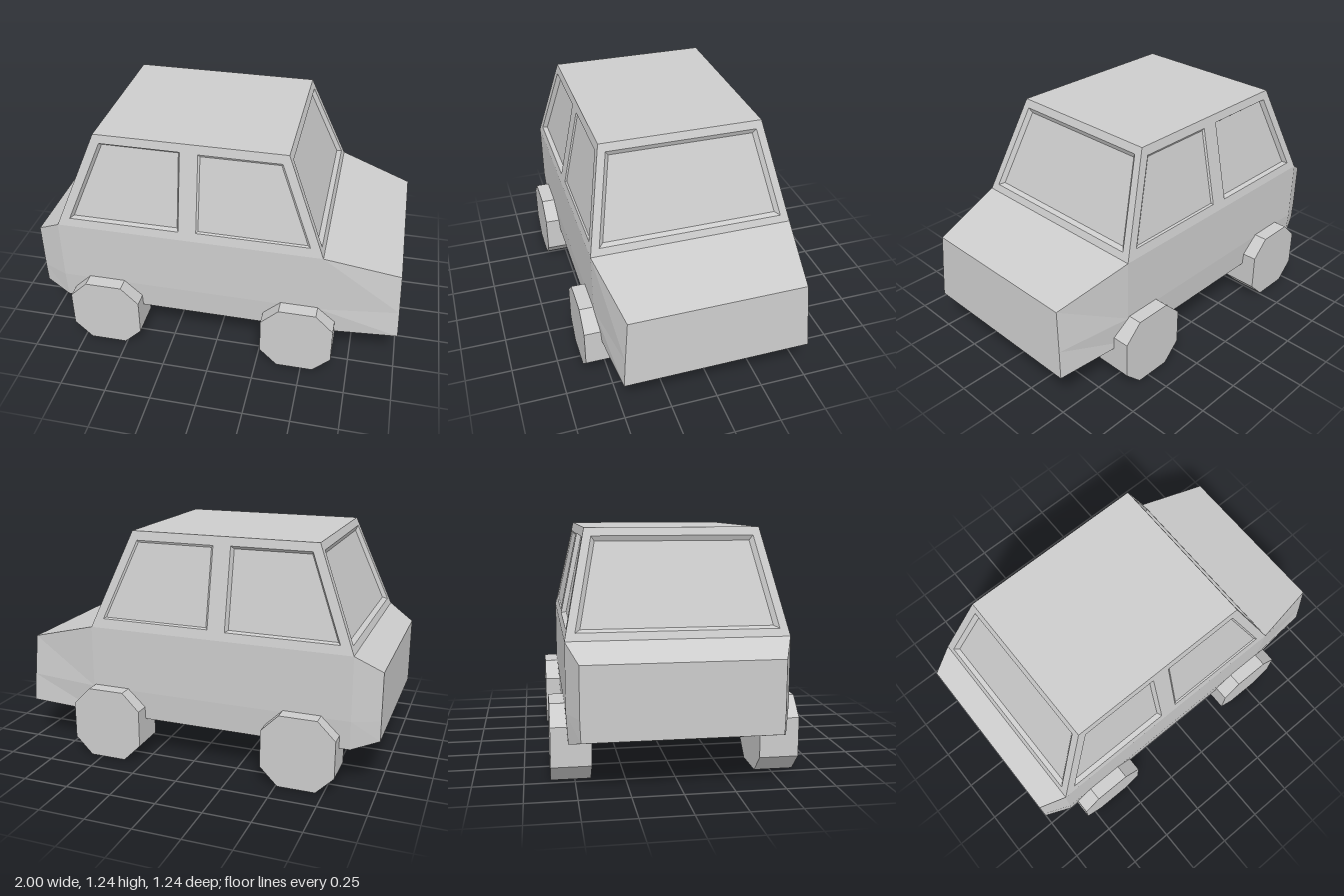
import * as THREE from 'three';

const paint = new THREE.MeshStandardMaterial({ color: 0xcccccc });
paint.name = 'light grey';

// Flat-shaded mesh from convex loops of corners, each counter-clockwise from outside
function facets(name, loops) {
  const pos = [];
  for (const l of loops) {
    for (let i = 1; i < l.length - 1; i++) pos.push(...l[0], ...l[i], ...l[i + 1]);
  }
  const geo = new THREE.BufferGeometry();
  geo.setAttribute('position', new THREE.Float32BufferAttribute(pos, 3));
  geo.computeVertexNormals();
  const mesh = new THREE.Mesh(geo, paint);
  mesh.name = name;
  return mesh;
}

// Quads joining two loops of equal length
const band = (a, b) => a.map((p, i) => {
  const j = (i + 1) % a.length;
  return [p, a[j], b[j], b[i]];
});

// Lower body: stations along x, each given as top, middle and bottom points of one side
function lowerBody() {
  const stations = [
    [[-1, 0.635, 0.487], [-1, 0.38, 0.487], [-1, 0.27, 0.483]],
    [[-0.86, 0.72, 0.545], [-0.86, 0.38, 0.545], [-0.86, 0.225, 0.535]],
    [[0.575, 0.72, 0.545], [0.575, 0.38, 0.545], [0.575, 0.225, 0.535]],
    [[0.98, 0.605, 0.468], [0.992, 0.38, 0.487], [1, 0.225, 0.498]],
  ];
  const rings = stations.map(([t, m, b]) => {
    const r = ([x, y, z]) => [x, y, -z];
    return [r(t), t, m, b, r(b), r(m)];
  });
  const loops = [rings[3], [...rings[0]].reverse()];
  for (let i = 0; i < 3; i++) loops.push(...band(rings[i], rings[i + 1]));
  return facets('lowerBody', loops);
}

// Sloping cabin panel with a recessed window; place() maps flat corners onto the slope
function windowPanel(name, outer, hole, place, flip, inset, depth) {
  const lift = (q) => {
    const pts = q.map(([u, v]) => place(u, v));
    return flip ? pts.reverse() : pts;
  };
  const o = lift(outer), h = lift(hole);
  const v = o.map((p) => new THREE.Vector3(...p));
  const normal = v[1].clone().sub(v[0]).cross(v[3].clone().sub(v[0])).normalize();
  const hv = h.map((p) => new THREE.Vector3(...p));
  // Move each corner inwards along both neighbouring edges, then sink it
  const pane = hv.map((p, i) => {
    const a = hv[(i + 1) % 4].clone().sub(p).normalize();
    const b = hv[(i + 3) % 4].clone().sub(p).normalize();
    return p.clone().addScaledVector(a, inset).addScaledVector(b, inset)
      .addScaledVector(normal, -depth).toArray();
  });
  const group = new THREE.Group();
  group.name = name;
  group.add(facets('frame', [...band(o, h), ...band(h, pane)]), facets('pane', [pane]));
  return group;
}

function cabin() {
  const g = new THREE.Group();
  g.name = 'cabin';
  const y0 = 0.72, y1 = 1.24, mid = -0.14;
  const rise = (y) => (y - y0) / (y1 - y0);

  // Side panels, mirrored across z
  for (const s of [1, -1]) {
    const place = (x, y) => [x, y, s * (0.545 - 0.11 * rise(y))];
    const side = s > 0 ? 'left' : 'right';
    g.add(
      windowPanel(side + 'RearWindow',
        [[-0.86, y0], [mid, y0], [mid, y1], [-0.65, y1]],
        [[-0.79, 0.765], [-0.19, 0.765], [-0.19, 1.195], [-0.617, 1.195]],
        place, s < 0, 0.012, 0.025),
      windowPanel(side + 'FrontWindow',
        [[mid, y0], [0.575, y0], [0.365, y1], [mid, y1]],
        [[-0.095, 0.77], [0.505, 0.77], [0.335, 1.192], [-0.095, 1.192]],
        place, s < 0, 0.01, 0.007),
    );
  }

  // Windscreen and rear window
  const outer = [[0.545, y0], [-0.545, y0], [-0.435, y1], [0.435, y1]];
  const hole = [[0.495, 0.757], [-0.495, 0.757], [-0.402, 1.2], [0.402, 1.2]];
  g.add(
    windowPanel('windscreen', outer, hole,
      (z, y) => [0.575 - 0.21 * rise(y), y, z], false, 0.021, 0.02),
    windowPanel('rearWindow', outer, hole,
      (z, y) => [-0.86 + 0.21 * rise(y), y, z], true, 0.021, 0.02),
    facets('roof', [[[-0.65, y1, 0.435], [0.365, y1, 0.435], [0.365, y1, -0.435], [-0.65, y1, -0.435]]]),
  );
  return g;
}

// Eight-sided wheel: a square block with chamfered corners
function wheelGeometry() {
  const r = 0.195, f = 0.1;
  const shape = new THREE.Shape(
    [[r, -f], [r, f], [f, r], [-f, r], [-r, f], [-r, -f], [-f, -r], [f, -r]]
      .map(([x, y]) => new THREE.Vector2(x, y)));
  return new THREE.ExtrudeGeometry(shape, { depth: 0.2, bevelEnabled: false }).translate(0, 0, -0.1);
}

export function createModel() {
  const model = new THREE.Group();
  model.name = 'car';
  model.add(lowerBody(), cabin());
  const wheelGeo = wheelGeometry();
  for (const [end, x] of [['front', 0.465], ['rear', -0.61]]) {
    for (const [side, z] of [['Left', 0.52], ['Right', -0.52]]) {
      const wheel = new THREE.Mesh(wheelGeo, paint);
      wheel.name = end + side + 'Wheel';
      wheel.position.set(x, 0.195, z);
      model.add(wheel);
    }
  }
  return model;
}
